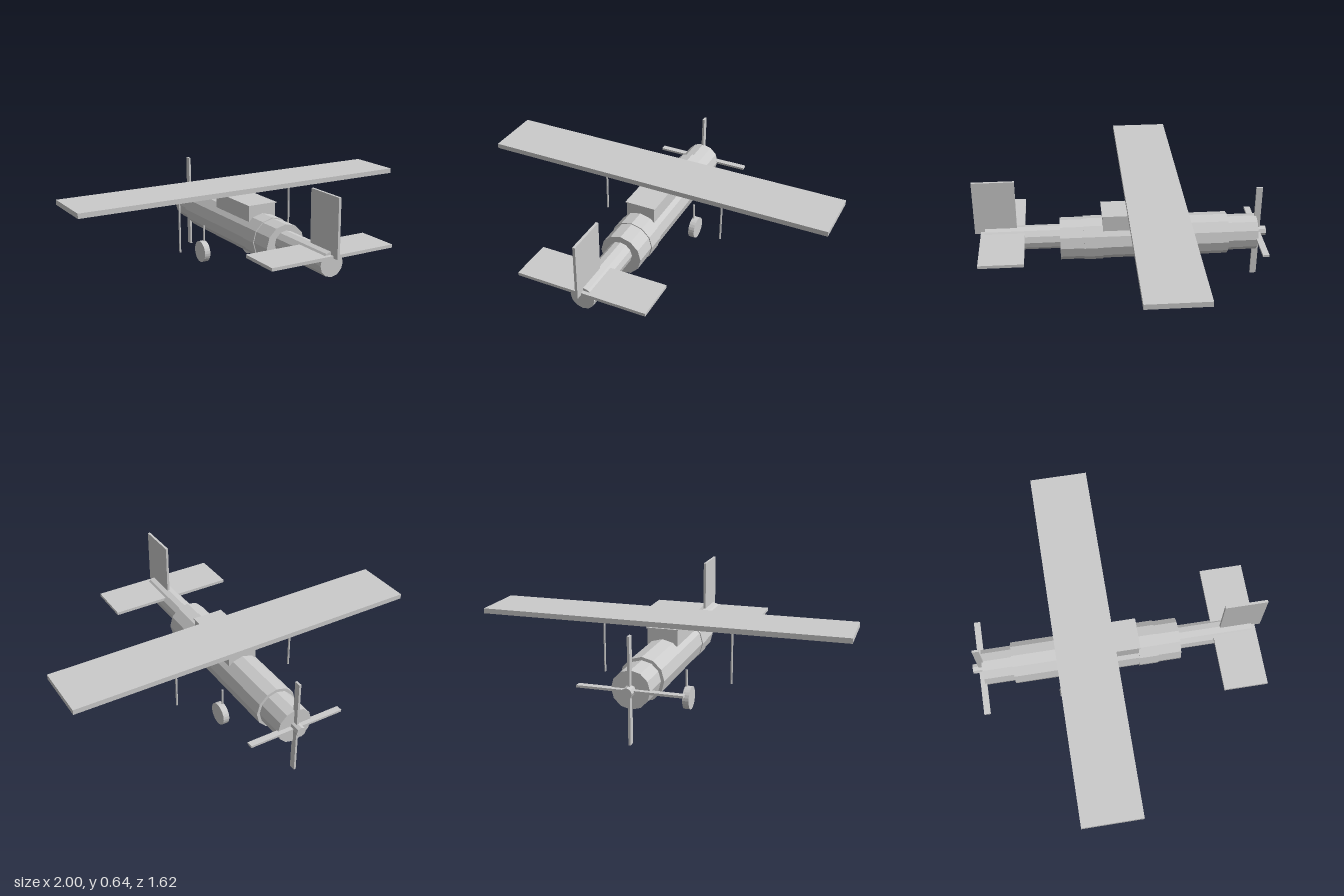
import * as THREE from 'three';

const material = new THREE.MeshStandardMaterial({ color: 0xcccccc, flatShading: true });

export function createModel() {
  const plane = new THREE.Group();
  plane.name = 'airplane';

  const add = (name, geometry, x, y, z) => {
    const mesh = new THREE.Mesh(geometry, material);
    mesh.name = name;
    mesh.position.set(x, y, z);
    plane.add(mesh);
    return mesh;
  };
  // Box given by its centre x, width, and y and z ranges
  const box = (name, x, width, y0, y1, z0, z1) =>
    add(name, new THREE.BoxGeometry(width, y1 - y0, z1 - z0), x, (y0 + y1) / 2, (z0 + z1) / 2);
  // Faceted cylinder lying along z
  const barrel = (name, radius, y, z0, z1, sides = 12) =>
    add(name, new THREE.CylinderGeometry(radius, radius, z1 - z0, sides).rotateX(Math.PI / 2), 0, y, (z0 + z1) / 2);

  // Fuselage, nose at -z and tail at +z
  barrel('fuselage', 0.117, 0.277, -0.585, 0.345);
  barrel('fuselageBand', 0.122, 0.277, 0.11, 0.215);
  barrel('engineCowl', 0.1, 0.277, -0.752, -0.585);
  barrel('tailBoom', 0.067, 0.293, 0.345, 0.755);

  // Cabin with a thin overhanging roof
  box('cabin', 0, 0.165, 0.36, 0.447, -0.255, 0.11);
  box('cabinRoof', 0, 0.176, 0.446, 0.452, -0.26, 0.115);
  box('roofStub', 0, 0.01, 0.45, 0.461, -0.227, -0.217);

  // Wing and tail surfaces
  box('wing', 0, 2, 0.48, 0.508, -0.342, -0.02);
  box('tailplane', 0, 0.717, 0.325, 0.342, 0.537, 0.777);
  box('tailFin', 0, 0.014, 0.33, 0.64, 0.58, 0.81);

  // Propeller
  barrel('propellerHub', 0.028, 0.277, -0.81, -0.75, 8);
  box('verticalBlade', 0, 0.012, 0, 0.551, -0.777, -0.742);
  box('horizontalBlade', 0, 0.544, 0.271, 0.283, -0.777, -0.742);

  // Wing struts and landing gear on both sides
  for (const side of [1, -1]) {
    add('wingStrut', new THREE.CylinderGeometry(0.006, 0.006, 0.325, 8), side * 0.36, 0.319, -0.176);
    add('wheelLeg', new THREE.CylinderGeometry(0.006, 0.006, 0.15, 8), side * 0.146, 0.175, -0.293);
    add('wheel', new THREE.CylinderGeometry(0.062, 0.062, 0.035, 24).rotateZ(Math.PI / 2), side * 0.157, 0.097, -0.293);
  }
  return plane;
}
